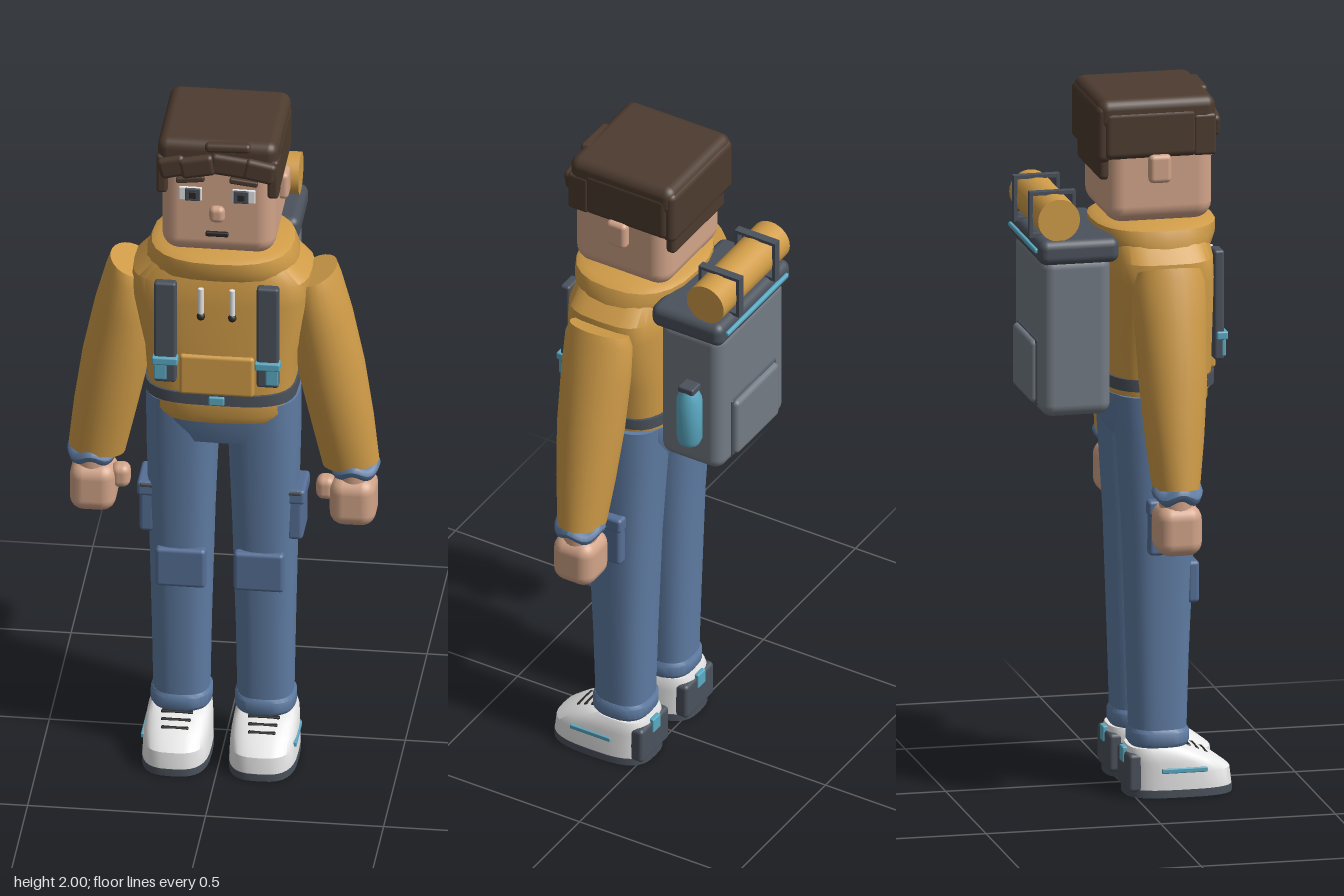
import * as THREE from 'three';
import { toCreasedNormals } from 'three/addons/utils/BufferGeometryUtils.js';
import { RoundedBoxGeometry } from 'three/addons/geometries/RoundedBoxGeometry.js';

const mat = (name, color) => Object.assign(new THREE.MeshStandardMaterial({ color }), { name });

// Stack of superelliptic sections [x, y, z, halfWidth, halfDepth, tilt], bottom to top
function loft(sections, sides = 24, power = 2) {
  const pos = [], idx = [], n = sides;
  const sp = (v) => Math.sign(v) * Math.pow(Math.abs(v), 2 / power);
  for (const [x, y, z, rx, rz, tilt = 0] of sections) {
    for (let j = 0; j < n; j++) {
      const a = (j / n) * Math.PI * 2, u = rx * sp(Math.cos(a));
      pos.push(x + u * Math.cos(tilt), y + u * Math.sin(tilt), z + rz * sp(Math.sin(a)));
    }
  }
  const last = sections.length - 1;
  pos.push(...sections[0].slice(0, 3), ...sections[last].slice(0, 3));
  const bottom = sections.length * n, top = bottom + 1;
  for (let j = 0; j < n; j++) {
    const k = (j + 1) % n;
    for (let i = 0; i < last; i++) {
      const a = i * n, b = a + n;
      idx.push(a + j, b + j, b + k, a + j, b + k, a + k);
    }
    idx.push(bottom, j, k, top, last * n + k, last * n + j);
  }
  const g = new THREE.BufferGeometry();
  g.setAttribute('position', new THREE.Float32BufferAttribute(pos, 3));
  g.setIndex(idx);
  return toCreasedNormals(g, 0.6);
}

export function createModel() {
  const M = {
    skin: mat('skin', 0xd2a489), hair: mat('hair', 0x4d3b2f), jacket: mat('jacket', 0xd09c48),
    denim: mat('denim', 0x5f7ca3), patch: mat('patch denim', 0x566f96), pack: mat('pack grey', 0x737b84),
    dark: mat('dark strap', 0x4b525c), white: mat('white', 0xe8e8e8), teal: mat('teal', 0x5aaac4),
    black: mat('black', 0x2a2826),
  };
  const root = new THREE.Group();
  root.name = 'backpacker';
  const add = (name, m, geo, x = 0, y = 0, z = 0, rz = 0) => {
    const mesh = new THREE.Mesh(geo, M[m]);
    mesh.name = name;
    mesh.position.set(x, y, z);
    mesh.rotation.z = rz;
    root.add(mesh);
    return mesh;
  };
  // Rounded box from its min/max extents
  const box = (name, m, [x0, x1], [y0, y1], [z0, z1], r = 0.01, rz = 0) => {
    const w = x1 - x0, h = y1 - y0, d = z1 - z0;
    return add(name, m, new RoundedBoxGeometry(w, h, d, 3, Math.min(r, w * 0.49, h * 0.49, d * 0.49)),
      (x0 + x1) / 2, (y0 + y1) / 2, (z0 + z1) / 2, rz);
  };
  // Box placed on side s, centred on |x| = cx
  const sideBox = (name, m, s, cx, w, ys, zs, r, rz = 0) =>
    box(name, m, [s * cx - w / 2, s * cx + w / 2], ys, zs, r, s * rz);

  // Head and face
  add('neck', 'skin', new THREE.CylinderGeometry(0.085, 0.09, 0.12, 24), 0, 1.62, 0.08);
  box('head', 'skin', [-0.16, 0.16], [1.64, 1.96], [-0.075, 0.233], 0.05);
  box('nose', 'skin', [-0.022, 0.022], [1.75, 1.8], [0.22, 0.252], 0.018);
  box('mouth', 'black', [-0.032, 0.032], [1.704, 1.718], [0.228, 0.243], 0.004);
  for (const s of [-1, 1]) {
    sideBox('ear', 'skin', s, 0.167, 0.034, [1.758, 1.84], [0.042, 0.106], 0.014);
    sideBox('eyeWhite', 'white', s, 0.075, 0.066, [1.813, 1.856], [0.23, 0.239], 0.004);
    sideBox('iris', 'dark', s, 0.068, 0.042, [1.815, 1.854], [0.236, 0.244], 0.003);
    sideBox('pupil', 'black', s, 0.068, 0.02, [1.824, 1.846], [0.241, 0.248], 0.003);
    sideBox('eyebrow', 'hair', s, 0.075, 0.08, [1.873, 1.89], [0.228, 0.246], 0.005, -0.12);
    sideBox('sideLock', 'hair', s, 0.156, 0.032, [1.83, 1.95], [0.17, 0.236], 0.01);
  }

  // Hair
  box('hairTop', 'hair', [-0.17, 0.17], [1.91, 2], [-0.1, 0.237], 0.03);
  box('hairSides', 'hair', [-0.172, 0.172], [1.828, 1.97], [-0.085, 0.185], 0.02);
  box('hairBack', 'hair', [-0.165, 0.165], [1.82, 1.985], [-0.105, -0.06], 0.02);
  box('hairNape', 'hair', [-0.14, 0.14], [1.765, 1.84], [-0.093, -0.06], 0.014);
  const fringe = [[-0.125, 0.08, 1.918, 0.25], [-0.055, 0.1, 1.925, 0.2], [0.04, 0.12, 1.93, -0.12], [0.12, 0.09, 1.92, -0.2]];
  fringe.forEach(([x, w, y, rz], i) =>
    box('fringeLock', 'hair', [x - w / 2, x + w / 2], [y - 0.032, y + 0.032], [0.2, 0.25 + 0.004 * (i % 2)], 0.014, rz));
  box('frontTuft', 'hair', [-0.035, 0.095], [1.97, 1.998], [0.205, 0.243], 0.012, 0.03);

  // Jacket
  add('jacketBody', 'jacket', loft([
    [0, 1.16, 0.09, 0.205, 0.148], [0, 1.3, 0.09, 0.215, 0.152], [0, 1.48, 0.088, 0.255, 0.153],
    [0, 1.54, 0.087, 0.25, 0.152], [0, 1.6, 0.085, 0.19, 0.14],
  ], 32, 3.4));
  add('jacketHem', 'jacket', loft([[0, 1.1, 0.085, 0.185, 0.138], [0, 1.125, 0.085, 0.2, 0.148], [0, 1.175, 0.085, 0.2, 0.148]], 32, 3));
  add('collar', 'jacket', loft([
    [0, 1.565, 0.087, 0.215, 0.16], [0, 1.595, 0.087, 0.212, 0.172], [0, 1.625, 0.087, 0.2, 0.172], [0, 1.635, 0.087, 0.18, 0.155],
  ], 24, 2.5));
  box('frontPocket', 'jacket', [-0.105, 0.105], [1.2, 1.325], [0.225, 0.25], 0.01);
  add('belt', 'dark', loft([[0, 1.168, 0.09, 0.214, 0.157], [0, 1.202, 0.09, 0.214, 0.157]], 32, 3.4));
  box('beltBuckle', 'teal', [-0.022, 0.022], [1.172, 1.198], [0.24, 0.255], 0.004);

  // Pelvis
  add('pelvis', 'denim', loft([[0, 1.02, 0.078, 0.148, 0.115], [0, 1.1, 0.078, 0.18, 0.14], [0, 1.15, 0.078, 0.19, 0.142]], 24, 3.5));

  for (const s of [-1, 1]) {
    // Pack straps and drawstrings
    sideBox('shoulderStrap', 'dark', s, 0.144, 0.062, [1.24, 1.555], [0.228, 0.258], 0.008);
    sideBox('strapBuckle', 'teal', s, 0.144, 0.072, [1.298, 1.322], [0.235, 0.268], 0.005);
    sideBox('strapSlider', 'teal', s, 0.157, 0.036, [1.25, 1.3], [0.25, 0.262], 0.004);
    add('drawstring', 'white', new THREE.CylinderGeometry(0.008, 0.008, 0.085, 10), s * 0.044, 1.497, 0.247);
    add('drawstringTip', 'black', new THREE.SphereGeometry(0.012, 12, 8), s * 0.044, 1.452, 0.248);

    // Sleeve, cuff and hand
    add('sleeve', 'jacket', loft([
      [0.357, 0.925, 0.077, 0.08, 0.066, 0.12], [0.334, 1.06, 0.078, 0.088, 0.082, 0.16],
      [0.304, 1.22, 0.08, 0.094, 0.096, 0.2], [0.276, 1.38, 0.08, 0.088, 0.102, 0.25],
      [0.26, 1.49, 0.08, 0.074, 0.102, 0.33], [0.258, 1.525, 0.08, 0.064, 0.09, 0.36],
    ].map(([x, y, z, a, b, t]) => [s * x, y, z, a, b, s * t])));
    const cuff = new THREE.TorusGeometry(0.05, 0.022, 10, 32).rotateX(Math.PI / 2);
    const p = cuff.attributes.position;
    for (let i = 0; i < p.count; i++) {
      p.setY(i, p.getY(i) + 0.009 * Math.cos(4 * Math.atan2(p.getZ(i), p.getX(i))));
    }
    cuff.computeVertexNormals();
    add('sleeveCuff', 'denim', cuff, s * 0.368, 0.915, 0.077);
    add('wrist', 'skin', new THREE.CylinderGeometry(0.05, 0.05, 0.08, 20), s * 0.368, 0.89, 0.077);
    sideBox('hand', 'skin', s, 0.365, 0.13, [0.74, 0.885], [0.012, 0.142], 0.04);
    sideBox('thumb', 'skin', s, 0.288, 0.054, [0.81, 0.88], [0.06, 0.115], 0.022);

    // Trouser leg with cuff, knee patch and cargo pocket
    add('leg', 'denim', loft([
      [s * 0.118, 0.13, 0.078, 0.078, 0.078], [s * 0.118, 0.4, 0.078, 0.083, 0.086],
      [s * 0.117, 0.75, 0.08, 0.092, 0.1], [s * 0.115, 1.0, 0.08, 0.1, 0.116], [s * 0.113, 1.15, 0.08, 0.103, 0.126],
    ], 28, 2.6));
    add('trouserCuff', 'denim', loft([
      [s * 0.118, 0.14, 0.078, 0.08, 0.08], [s * 0.118, 0.15, 0.078, 0.086, 0.086],
      [s * 0.118, 0.18, 0.078, 0.086, 0.086], [s * 0.118, 0.19, 0.078, 0.08, 0.08],
    ], 28, 2.6));
    sideBox('kneePatch', 'patch', s, 0.11, 0.142, [0.547, 0.668], [0.15, 0.186], 0.012);
    sideBox('cargoPocket', 'patch', s, 0.207, 0.046, [0.7, 0.85], [0.03, 0.15], 0.012);
    sideBox('pocketFlap', 'patch', s, 0.208, 0.056, [0.815, 0.86], [0.026, 0.155], 0.01);
    sideBox('pocketSnap', 'dark', s, 0.208, 0.038, [0.845, 0.857], [0.148, 0.158], 0.004);

    // Shoe
    const sx = s * 0.122;
    add('sole', 'dark', loft([[sx, 0, 0.132, 0.096, 0.153], [sx, 0.022, 0.132, 0.096, 0.153]], 32, 3));
    add('shoeUpper', 'white', loft([
      [sx, 0.02, 0.133, 0.095, 0.151], [sx, 0.07, 0.13, 0.094, 0.148],
      [sx, 0.1, 0.11, 0.092, 0.128], [sx, 0.125, 0.085, 0.088, 0.102], [sx, 0.14, 0.07, 0.08, 0.082],
    ], 32, 3));
    sideBox('heelCounter', 'dark', s, 0.122, 0.15, [0.015, 0.125], [-0.022, 0.03], 0.012);
    sideBox('heelTab', 'teal', s, 0.122, 0.04, [0.09, 0.135], [-0.027, -0.012], 0.004);
    sideBox('shoeStripe', 'teal', s, 0.214, 0.01, [0.07, 0.084], [0.07, 0.2], 0.003);
    for (let i = 0; i < 3; i++) {
      const y = 0.136 - i * 0.012, z = 0.155 + i * 0.025;
      sideBox('lace', 'black', s, 0.122, 0.09 - i * 0.006, [y - 0.008, y + 0.004], [z - 0.006, z + 0.008], 0.004);
    }
  }

  // Backpack
  box('packBody', 'pack', [-0.18, 0.18], [1.1, 1.56], [-0.265, -0.065], 0.035);
  box('packLid', 'dark', [-0.196, 0.196], [1.54, 1.612], [-0.275, -0.045], 0.025);
  box('lidPiping', 'teal', [-0.165, 0.165], [1.572, 1.586], [-0.284, -0.265], 0.005);
  box('packPocket', 'pack', [-0.115, 0.115], [1.13, 1.31], [-0.284, -0.255], 0.014);
  box('packPocketTrim', 'dark', [-0.12, 0.12], [1.125, 1.315], [-0.27, -0.258], 0.006);

  // Bedroll with two square straps
  add('bedroll', 'jacket', new THREE.CylinderGeometry(0.06, 0.06, 0.36, 28), 0, 1.668, -0.217, Math.PI / 2);
  const ring = new THREE.Shape([[-0.066, -0.065], [0.066, -0.065], [0.066, 0.065], [-0.066, 0.065]].map((q) => new THREE.Vector2(...q)));
  ring.holes.push(new THREE.Path([[-0.056, -0.055], [-0.056, 0.055], [0.056, 0.055], [0.056, -0.055]].map((q) => new THREE.Vector2(...q))));
  for (const x of [-0.098, 0.098]) {
    const g = new THREE.ExtrudeGeometry(ring, { depth: 0.024, bevelEnabled: false });
    g.translate(0, 0, -0.012).rotateY(Math.PI / 2);
    add('bedrollStrap', 'dark', g, x, 1.67, -0.219);
  }

  // Water bottle on the left side
  add('bottle', 'teal', loft([
    [0.212, 1.205, -0.185, 0.03, 0.03], [0.212, 1.22, -0.185, 0.036, 0.036],
    [0.212, 1.355, -0.185, 0.036, 0.036], [0.212, 1.385, -0.185, 0.024, 0.024],
  ], 16));
  box('bottleCap', 'dark', [0.19, 0.236], [1.38, 1.402], [-0.21, -0.16], 0.006);

  return root;
}
